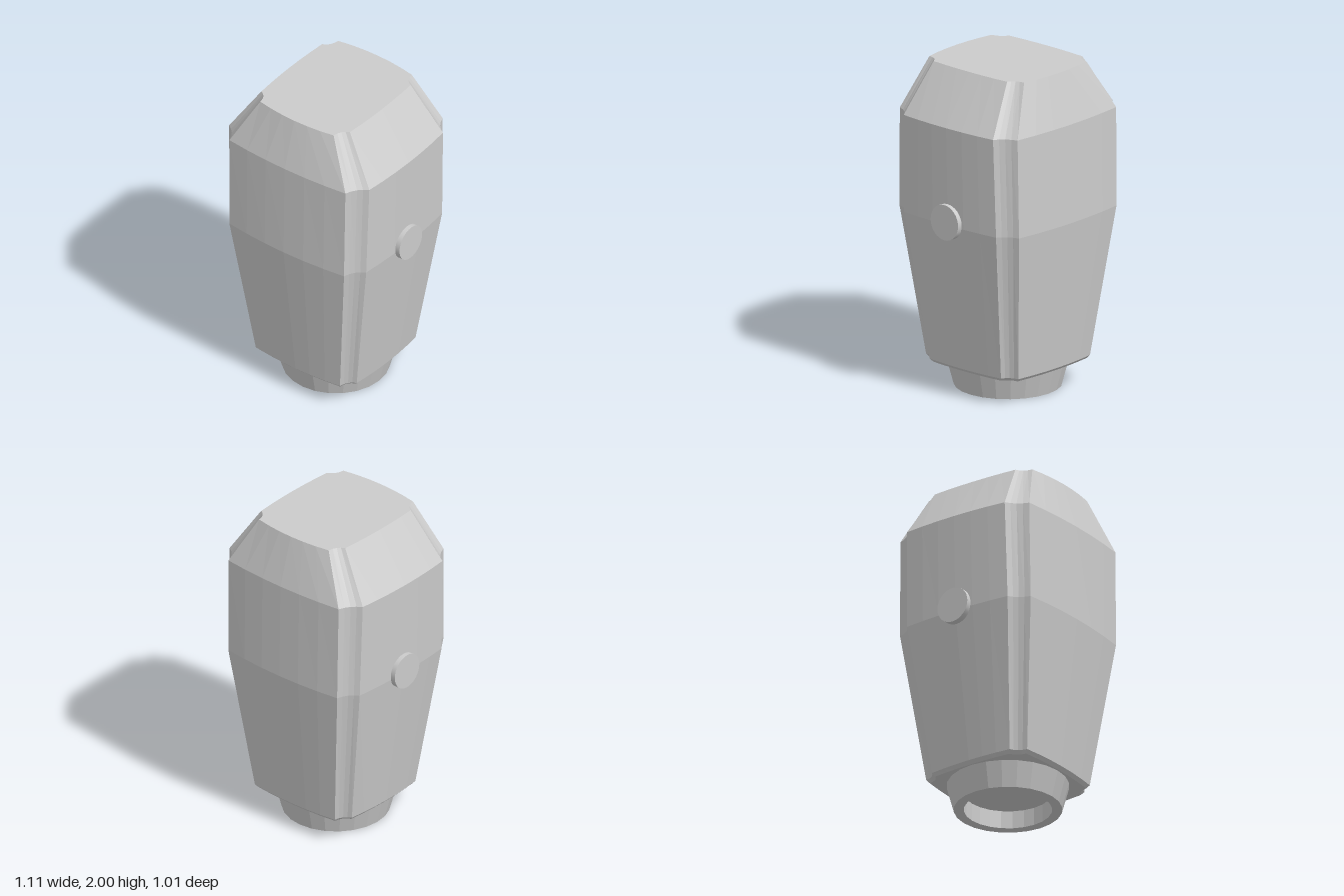
import * as THREE from 'three';

const mat = new THREE.MeshStandardMaterial({ color: 0xcccccc, flatShading: true });
const smooth = new THREE.MeshStandardMaterial({ color: 0xcccccc });

// Quadratic arc between two points, bulging through the given middle point
function arc(a, mid, b, n) {
  const out = [];
  for (let i = 0; i < n; i++) {
    const t = i / n;
    const wa = (1 - t) * (1 - 2 * t), wm = 4 * t * (1 - t), wb = t * (2 * t - 1);
    out.push([0, 1].map(k => a[k] * wa + mid[k] * wm + b[k] * wb));
  }
  return out;
}

// Rounded-square section: bowed sides joined by slightly hollow corners.
// X, Z: half sizes mid-side; (xo, zi) and (xi, zo): the two ends of a corner
function section({ y, X, Z, xo, zi, xi, zo }) {
  const hollow = [(xo + xi) / 2 - 0.011, (zo + zi) / 2 - 0.011];
  const pts = [
    ...arc([xo, -zi], [X, 0], [xo, zi], 6),
    ...arc([xo, zi], hollow, [xi, zo], 4),
    ...arc([xi, zo], [0, Z], [-xi, zo], 6),
    ...arc([-xi, zo], [-hollow[0], hollow[1]], [-xo, zi], 4),
  ];
  // The other half is the same outline turned by 180 degrees
  return [...pts, ...pts.map(([x, z]) => [-x, -z])].map(([x, z]) => [x, y, z]);
}

// Skin consecutive sections and close both ends
function loft(rings) {
  const n = rings[0].length;
  const point = y => Array.from({ length: n }, () => [0, y, 0]);
  const all = [point(rings[0][0][1]), ...rings, point(rings.at(-1)[0][1])];
  const index = [];
  for (let r = 0; r < all.length - 1; r++) {
    for (let i = 0; i < n; i++) {
      const a = r * n + i, b = r * n + (i + 1) % n;
      if (r < all.length - 2) index.push(a, a + n, b + n);
      if (r > 0) index.push(a, b + n, b);
      else index.push();
    }
  }
  // First band is a fan whose lower edge is the centre point
  const geo = new THREE.BufferGeometry();
  geo.setAttribute('position', new THREE.Float32BufferAttribute(all.flat(2), 3));
  geo.setIndex(index);
  const flat = geo.toNonIndexed();
  flat.computeVertexNormals();
  return flat;
}

export function createModel() {
  const group = new THREE.Group();
  const add = (name, geometry, material = mat) => {
    const mesh = new THREE.Mesh(geometry, material);
    mesh.name = name;
    group.add(mesh);
    return mesh;
  };

  // Faceted body, bottom to top
  add('body', loft([
    { y: 0.155, X: 0.37, Z: 0.37, xo: 0.355, zi: 0.27, xi: 0.30, zo: 0.35 },
    { y: 0.175, X: 0.39, Z: 0.39, xo: 0.372, zi: 0.283, xi: 0.312, zo: 0.367 },
    { y: 1.095, X: 0.525, Z: 0.505, xo: 0.505, zi: 0.365, xi: 0.425, zo: 0.475 },
    { y: 1.70, X: 0.54, Z: 0.495, xo: 0.52, zi: 0.355, xi: 0.43, zo: 0.468 },
    { y: 2.00, X: 0.34, Z: 0.403, xo: 0.328, zi: 0.292, xi: 0.272, zo: 0.376 },
  ].map(section)));

  // Tapered hollow neck under the body
  const neck = [[0, 0.11], [0.26, 0.11], [0.26, 0], [0.32, 0], [0.362, 0.157], [0, 0.157]];
  add('neck', new THREE.LatheGeometry(neck.map(p => new THREE.Vector2(...p)), 24), mat);

  // Round buttons on both sides
  for (const [name, side] of [['leftButton', 1], ['rightButton', -1]]) {
    const button = add(name, new THREE.CylinderGeometry(0.109, 0.109, 0.1, 32), smooth);
    button.rotation.z = Math.PI / 2;
    button.position.set(side * 0.505, 1.12, 0);
  }
  return group;
}
